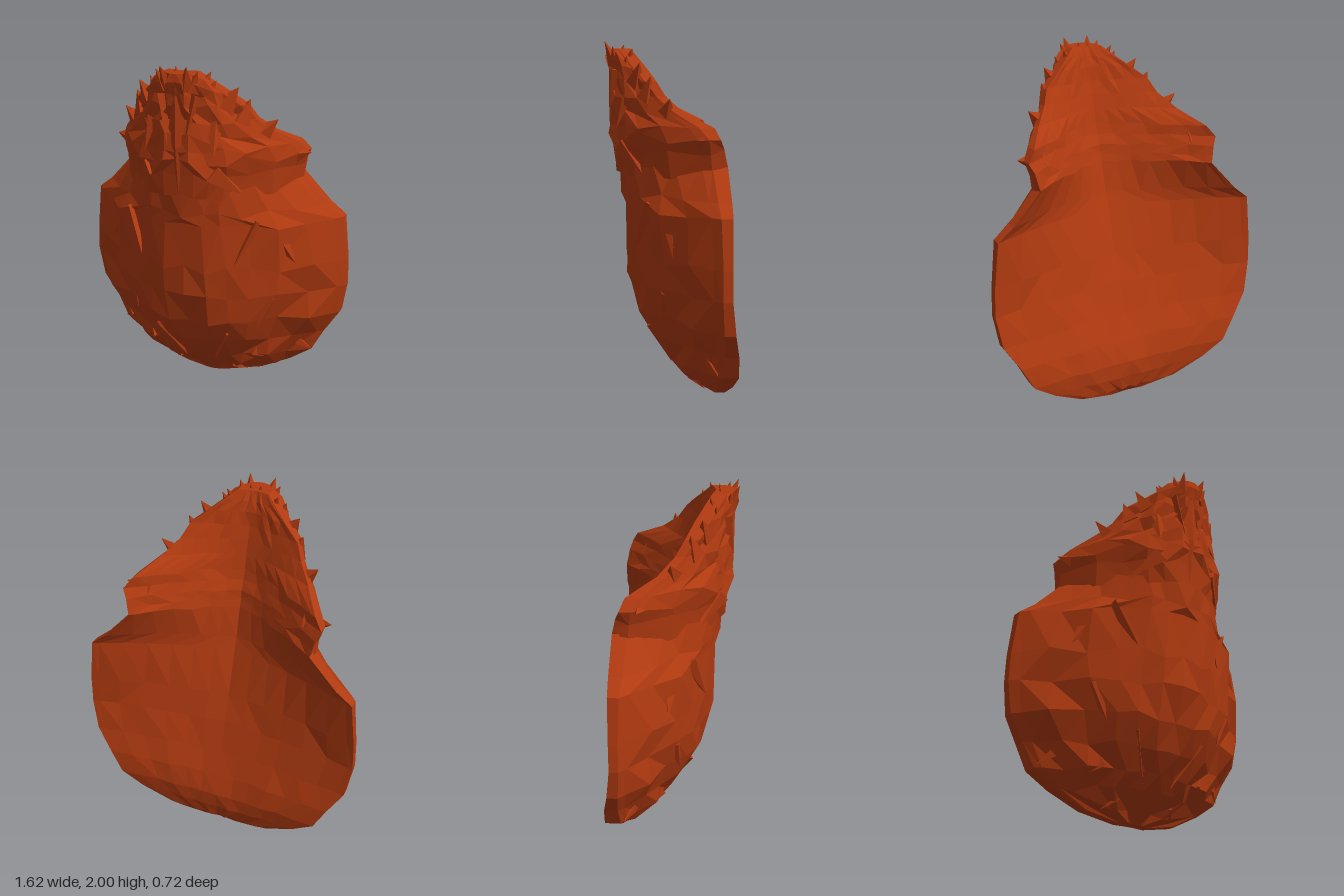
import * as THREE from 'three';

const rust = new THREE.MeshStandardMaterial({ color: 0xb03a10, flatShading: true });
rust.name = 'rust';

// Small repeatable bump, equal on both sides so the form stays symmetric
const bump = (a, b) => {
  const s = Math.sin(a * 12.9898 + b * 78.233) * 43758.5453;
  return (s - Math.floor(s)) - 0.5;
};

// Rows: y, half width, front centre z, rim front z, rim back z, back centre z (and y at the back if different)
const ROWS = [
  [0.005, 0.1, -0.2, -0.23, -0.28, -0.27],
  [0.05, 0.31, -0.15, -0.26, -0.31, -0.31],
  [0.14, 0.49, -0.05, -0.27, -0.34, -0.33],
  [0.23, 0.62, 0.03, -0.27, -0.36, -0.335],
  [0.36, 0.69, 0.11, -0.28, -0.355, -0.3],
  [0.50, 0.78, 0.175, -0.27, -0.33, -0.25],
  [0.68, 0.812, 0.22, -0.26, -0.31, -0.185],
  [0.84, 0.808, 0.25, -0.26, -0.31, -0.13],
  [1.10, 0.78, 0.25, -0.25, -0.31, -0.045],
  [1.17, 0.69, 0.255, -0.24, -0.31, -0.02],
  [1.34, 0.53, 0.265, -0.22, -0.3, 0.03],
  // The upper layer laps down over the body here
  [1.28, 0.54, 0.285, -0.22, -0.29, 0.045, 1.38],
  [1.40, 0.55, 0.305, -0.21, -0.28, 0.06, 1.43],
  [1.48, 0.575, 0.325, -0.2, -0.26, 0.085],
  [1.54, 0.53, 0.325, -0.15, -0.23, 0.105],
  [1.62, 0.43, 0.31, -0.02, -0.07, 0.125],
  [1.70, 0.355, 0.3, 0.07, 0.02, 0.145],
  [1.78, 0.315, 0.31, 0.13, 0.07, 0.165],
  [1.85, 0.225, 0.325, 0.19, 0.12, 0.185],
  [1.91, 0.15, 0.335, 0.24, 0.17, 0.2],
  [1.96, 0.09, 0.345, 0.28, 0.21, 0.23],
];
const STEPS = [0, 0.15, 0.29, 0.45, 0.62, 0.8, 0.95, 1];
const frontZ = (u, y, zf, ze) => zf + (ze - zf) * Math.pow(u, y > 1.27 ? 2.3 : 1.85);

// Front surface depth at a point, used to seat the locks
function surfaceZ(x, y) {
  const i = ROWS.findLastIndex(r => r[0] <= y);
  const a = ROWS[i], b = ROWS[i + 1], t = (y - a[0]) / (b[0] - a[0]);
  const [w, zf, ze] = [1, 2, 3].map(k => a[k] + (b[k] - a[k]) * t);
  return frontZ(Math.min(1, Math.abs(x) / w), y, zf, ze);
}

// Curved shell lofted through the rows, hollow behind
function shell() {
  const ROUGH = 0.05, half = 2 * STEPS.length - 1, m = half * 2;
  const us = [...STEPS.slice(1).reverse().map(u => -u), ...STEPS];
  const pos = [], idx = [];
  ROWS.forEach(([y, w, zf, ze, zr, zb, yb = y], r) => {
    const point = (u, back) => {
      const a = Math.abs(u), k = Math.round(a * 100) + (back ? 7 : 0);
      const inner = a < 0.9 && r > 0 && r < ROWS.length - 1;
      const amount = inner ? ROUGH * (back ? 0.3 : 1) : 0;
      const z = back ? zb + (zr - zb) * Math.pow(a, 1.25) : frontZ(a, y, zf, ze);
      pos.push(
        u * w + Math.sign(u) * bump(k + 5, r + 9) * amount,
        (back ? yb : y) + bump(r + 3, k) * amount,
        z + bump(k, r) * amount * 0.8);
    };
    us.forEach(u => point(u, false));
    [...us].reverse().forEach(u => point(u, true));
  });
  for (let r = 0; r < ROWS.length - 1; r++) {
    for (let j = 0; j < m; j++) {
      const a = r * m + j, b = r * m + (j + 1) % m, c = b + m, d = a + m;
      // Mirror the diagonals about the centre line, alternating by row
      if ((j % half < STEPS.length - 1) === (r % 2 === 0)) idx.push(a, b, c, a, c, d);
      else idx.push(a, b, d, b, c, d);
    }
  }
  // End caps, as strips between front and back
  const top = (ROWS.length - 1) * m;
  for (let p = 0; p < half - 1; p++) {
    const q = p + 1, s = m - 2 - p, t = m - 1 - p;
    idx.push(top + p, top + q, top + s, top + p, top + s, top + t);
    idx.push(p, s, q, p, t, s);
  }
  const g = new THREE.BufferGeometry();
  g.setAttribute('position', new THREE.Float32BufferAttribute(pos, 3));
  g.setIndex(idx);
  g.computeVertexNormals();
  return new THREE.Mesh(g, rust);
}

// Pointed four-sided lock of fur from a base point to a tip
function lock(name, base, tip, radius, flat) {
  const a = new THREE.Vector3(...base), b = new THREE.Vector3(...tip);
  const d = b.clone().sub(a), len = d.length();
  const g = new THREE.ConeGeometry(radius, len, 4);
  g.translate(0, len / 2, 0);
  g.scale(1, 1, flat);
  const mesh = new THREE.Mesh(g, rust);
  mesh.name = name;
  mesh.quaternion.setFromUnitVectors(new THREE.Vector3(0, 1, 0), d.normalize());
  mesh.position.copy(a);
  return mesh;
}

// Lock lying on the front, sunk at its base and lifting at its tip
const frontLock = (name, [x0, y0], [x1, y1], r) => lock(name,
  [x0, y0, surfaceZ(x0, y0) - 0.035], [x1, y1, surfaceZ(x1, y1) + 0.015], r, 0.6);

export function createModel() {
  const model = new THREE.Group();
  model.name = 'furTuft';
  const body = shell();
  body.name = 'body';
  model.add(body);

  // Spiky rim and crown: base, tip, radius (left side)
  const rim = [
    [[0.46, 1.46, -0.14], [0.602, 1.48, -0.17], 0.08],
    [[0.36, 1.60, 0.02], [0.46, 1.69, 0.0], 0.07],
    [[0.28, 1.69, 0.12], [0.335, 1.81, 0.1], 0.07],
    [[0.21, 1.77, 0.18], [0.29, 1.88, 0.16], 0.07],
    [[0.14, 1.83, 0.24], [0.19, 1.92, 0.23], 0.05],
    [[0.1, 1.86, 0.23], [0.15, 1.96, 0.2], 0.05],
    [[0.07, 1.87, 0.29], [0.12, 1.975, 0.31], 0.05],
    [[0.05, 1.88, 0.3], [0.075, 2.0, 0.355], 0.05],
    [[0.02, 1.9, 0.27], [0.03, 1.985, 0.25], 0.04],
  ];
  // Raised locks on the front: base, tip, radius (left side)
  const front = [
    [[0.38, 1.12], [0.28, 0.87], 0.06],
    [[0.45, 0.66], [0.38, 0.46], 0.06],
    [[0.21, 0.44], [0.09, 0.17], 0.06],
    [[0.32, 0.27], [0.42, 0.19], 0.05],
    [[0.55, 0.31], [0.62, 0.24], 0.04],
    [[0.17, 0.12], [0.24, 0.05], 0.04],
    [[0.20, 0.78], [0.02, 0.66], 0.04],
    [[0.49, 1.01], [0.58, 0.87], 0.05],
    [[0.18, 1.44], [0.32, 1.29], 0.08],
    [[0.18, 1.72], [0.20, 1.52], 0.06],
    [[0.09, 1.84], [0.05, 1.58], 0.05],
  ];
  for (const side of [1, -1]) {
    const flip = ([x, ...rest]) => [side * x, ...rest];
    rim.forEach(([a, b, r]) => model.add(lock('rimSpike', flip(a), flip(b), r, 0.8)));
    front.forEach(([a, b, r]) => model.add(frontLock('frontLock', flip(a), flip(b), r)));
  }

  // Long diamond of fur falling from the crown
  model.add(
    lock('centreLock', [0, 1.57, 0.3], [0, 1.29, 0.295], 0.07, 0.5),
    lock('centreLockTop', [0, 1.57, 0.3], [0, 1.88, 0.335], 0.07, 0.5));
  return model;
}
